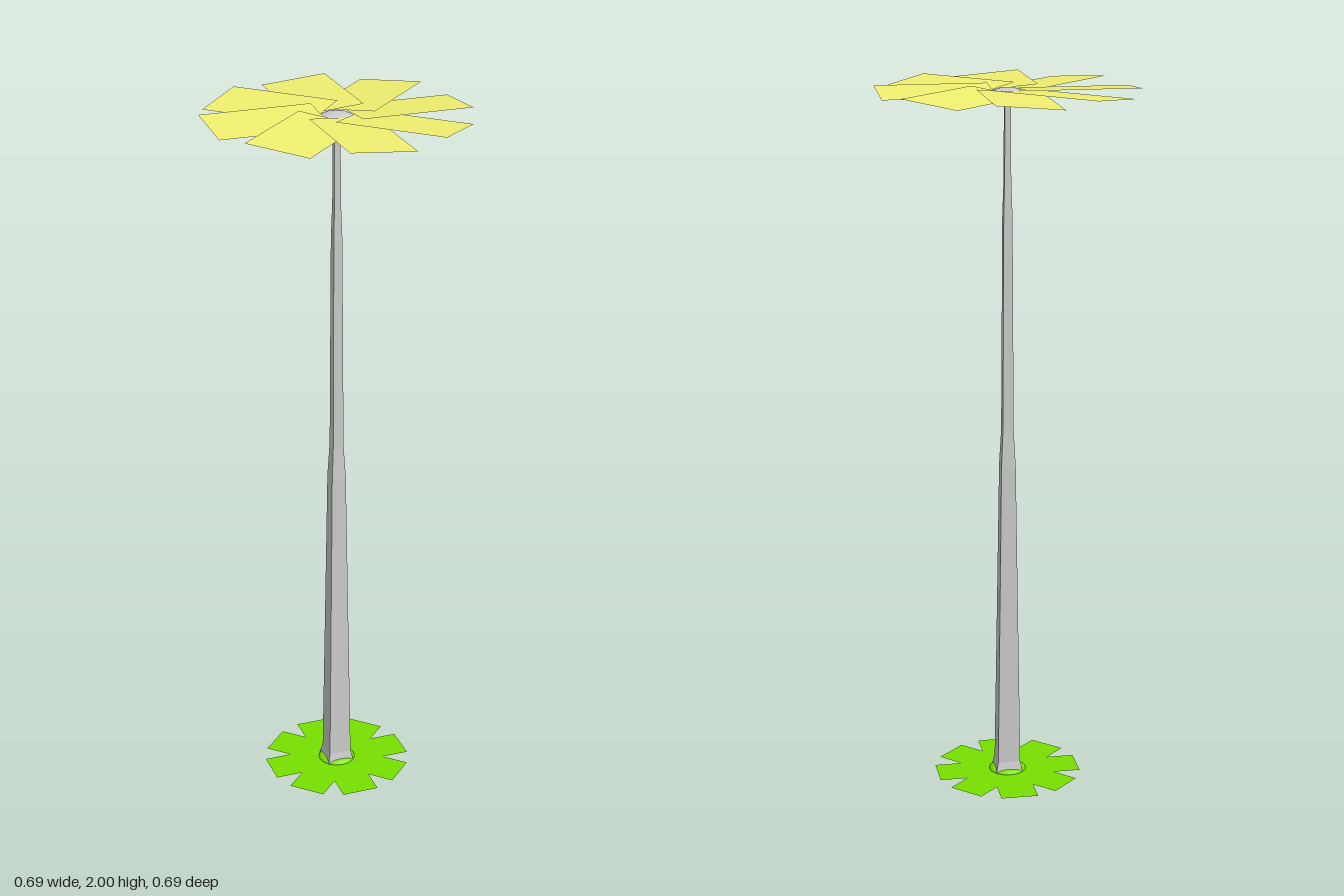
import * as THREE from 'three';

const grey = new THREE.MeshStandardMaterial({ color: 0xcccccc, flatShading: true });
const greySmooth = new THREE.MeshStandardMaterial({ color: 0xcccccc });
const yellow = new THREE.MeshStandardMaterial({ color: 0xf0f070, side: THREE.DoubleSide });
const green = new THREE.MeshStandardMaterial({ color: 0x78e000, side: THREE.DoubleSide });

function addMesh(parent, name, geometry, material) {
  const mesh = new THREE.Mesh(geometry, material);
  mesh.name = name;
  parent.add(mesh);
  return mesh;
}

// Ring of eight thin rectangular blades, each rolled about its own length
function bladeRing(name, material, inner, outer, width, roll) {
  const ring = new THREE.Group();
  ring.name = name + 'Ring';
  const blade = new THREE.PlaneGeometry(outer - inner, width);
  blade.rotateX(-Math.PI / 2 - roll);
  blade.translate((inner + outer) / 2, 0, 0);
  for (let i = 0; i < 8; i++) {
    addMesh(ring, name, blade, material).rotation.y = (i * Math.PI) / 4;
  }
  return ring;
}

// Flattened bulb
function bulb(radius, halfHeight) {
  const g = new THREE.SphereGeometry(radius, 16, 10);
  g.scale(1, halfHeight / radius, 1);
  return g;
}

export function createModel() {
  const model = new THREE.Group();
  model.name = 'flower';

  // Square tapering stem: half-width at each height
  const profile = [
    [0, 0], [0.04, 0], [0.039, 0.03], [0.032, 0.065], [0.026, 0.5], [0.02, 0.95],
    [0.015, 1.05], [0.012, 1.65], [0.009, 1.75], [0.008, 1.97], [0, 1.97],
  ].map(([w, y]) => new THREE.Vector2(w * Math.SQRT2, y));
  addMesh(model, 'stem', new THREE.LatheGeometry(profile, 4, Math.PI / 4), grey);

  // Flower head
  addMesh(model, 'flowerCentre', bulb(0.052, 0.023), greySmooth).position.y = 1.976;
  const petals = bladeRing('petal', yellow, 0.04, 0.347, 0.181, 0.083);
  petals.position.y = 1.9925;
  model.add(petals);

  // Flat leaves around the foot
  addMesh(model, 'leafBase', bulb(0.053, 0.014), green).position.y = 0.034;
  const leaves = bladeRing('leaf', green, 0.023, 0.203, 0.105, 0);
  leaves.position.y = 0.034;
  model.add(leaves);

  return model;
}
